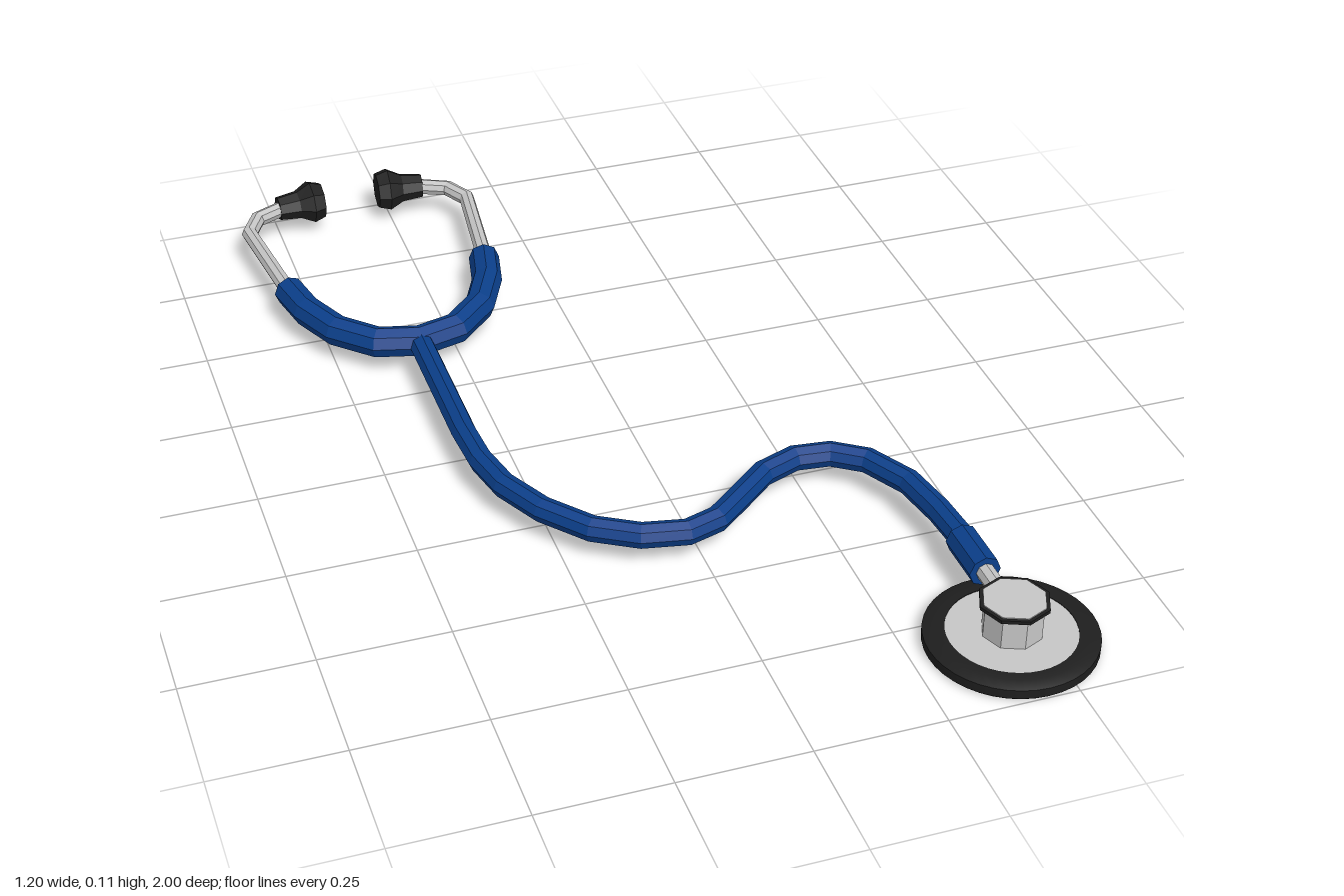
import * as THREE from 'three';
import { toCreasedNormals } from 'three/addons/utils/BufferGeometryUtils.js';

const Y = 0.065;      // height of the tubing's centre line
const MID = -0.338;   // mirror line of the headset
const SIDES = 8;

// Faceted, capped tube through flat [x, z] points with a radius per point
function sweep(path, radius) {
  const pts = path.map(([x, z]) => new THREE.Vector3(x, Y, z));
  const up = new THREE.Vector3(0, 1, 0);
  const rings = pts.map((p, i) => {
    const before = pts[Math.max(i - 1, 0)], after = pts[Math.min(i + 1, pts.length - 1)];
    const a = p.clone().sub(before).normalize(), b = after.clone().sub(p).normalize();
    const side = a.add(b).normalize().cross(up);
    const r = Array.isArray(radius) ? radius[i] : radius;
    return Array.from({ length: SIDES }, (_, j) => {
      const t = (j / SIDES) * Math.PI * 2;
      return p.clone().addScaledVector(side, r * Math.cos(t)).addScaledVector(up, r * Math.sin(t));
    });
  });
  const tris = [];
  const last = rings.length - 1;
  for (let j = 0; j < SIDES; j++) {
    const k = (j + 1) % SIDES;
    for (let i = 0; i < last; i++) {
      const a = rings[i][j], b = rings[i][k], c = rings[i + 1][k], d = rings[i + 1][j];
      tris.push(a, d, c, a, c, b);
    }
    tris.push(pts[0], rings[0][j], rings[0][k]);
    tris.push(pts[last], rings[last][k], rings[last][j]);
  }
  const g = new THREE.BufferGeometry().setFromPoints(tris);
  g.computeVertexNormals();
  return g;
}

export function createModel() {
  const mat = (name, color) => {
    const m = new THREE.MeshStandardMaterial({ color });
    m.name = name;
    return m;
  };
  const blue = mat('blue rubber', 0x0b3f8a);
  const steel = mat('steel', 0xc6c6c6);
  const black = mat('black rubber', 0x1e1e1e);

  const model = new THREE.Group();
  model.name = 'stethoscope';
  const add = (name, geometry, material, parent = model) => {
    const m = new THREE.Mesh(geometry, material);
    m.name = name;
    parent.add(m);
    return m;
  };

  // Long S-shaped tube
  add('mainTube', sweep([
    [-0.338, -0.335], [-0.338, -0.15], [-0.338, 0], [-0.332, 0.1], [-0.312, 0.19],
    [-0.265, 0.285], [-0.195, 0.37], [-0.115, 0.418], [-0.03, 0.435], [0.035, 0.415],
    [0.1, 0.362], [0.165, 0.308], [0.24, 0.28], [0.31, 0.288], [0.37, 0.33],
    [0.418, 0.42], [0.436, 0.52], [0.445, 0.63]], 0.025), blue);

  // U-shaped yoke, mirrored around the main tube
  const half = [[0.212, -0.61], [0.193, -0.52], [0.152, -0.43], [0.083, -0.362]];
  add('yoke', sweep([
    ...half.map(([x, z]) => [MID - x, z]), [MID, -0.34],
    ...half.map(([x, z]) => [MID + x, z]).reverse()], 0.032), blue);

  // Steel ear tubes with flared ear tips
  for (const [side, s] of [['right', -1], ['left', 1]]) {
    const flip = (p) => p.map(([x, z]) => [MID + s * x, z]);
    add(side + 'EarTube', sweep(flip([
      [0.211, -0.59], [0.243, -0.86], [0.214, -0.915], [0.15, -0.945], [0.12, -0.948]]), 0.017), steel);
    add(side + 'EarTip', sweep(flip([
      [0.162, -0.945], [0.118, -0.949], [0.088, -0.952], [0.062, -0.953]]),
      [0.026, 0.031, 0.047, 0.039]), black);
  }

  // Sleeve and stem joining the tube to the chest piece
  add('sleeve', sweep([[0.441, 0.61], [0.442, 0.715]], 0.031), blue);
  add('stem', sweep([[0.442, 0.7], [0.442, 0.8]], 0.018), steel);

  // Chest piece: diaphragm disc, plate, faceted column and cap
  const chest = new THREE.Group();
  chest.name = 'chestPiece';
  chest.position.set(0.44, 0, 0.84);
  model.add(chest);
  const rim = [[0, 0], [0.156, 0], [0.16, 0.004], [0.16, 0.022], [0.14, 0.029], [0.12, 0.029], [0.12, 0.02]];
  add('diaphragmRim', toCreasedNormals(new THREE.LatheGeometry(
    rim.map(([r, y]) => new THREE.Vector2(r, y)), 40), 0.4), black, chest);
  const drum = (name, r, y0, y1, n, material) => {
    const g = toCreasedNormals(new THREE.CylinderGeometry(r, r, y1 - y0, n), 0.4);
    add(name, g, material, chest).position.y = (y0 + y1) / 2;
  };
  drum('topPlate', 0.1205, 0.018, 0.0275, 40, steel);
  drum('column', 0.057, 0.02, 0.092, 8, steel);
  drum('capRim', 0.067, 0.09, 0.097, 8, black);
  drum('capFace', 0.06, 0.092, 0.099, 8, steel);

  return model;
}
